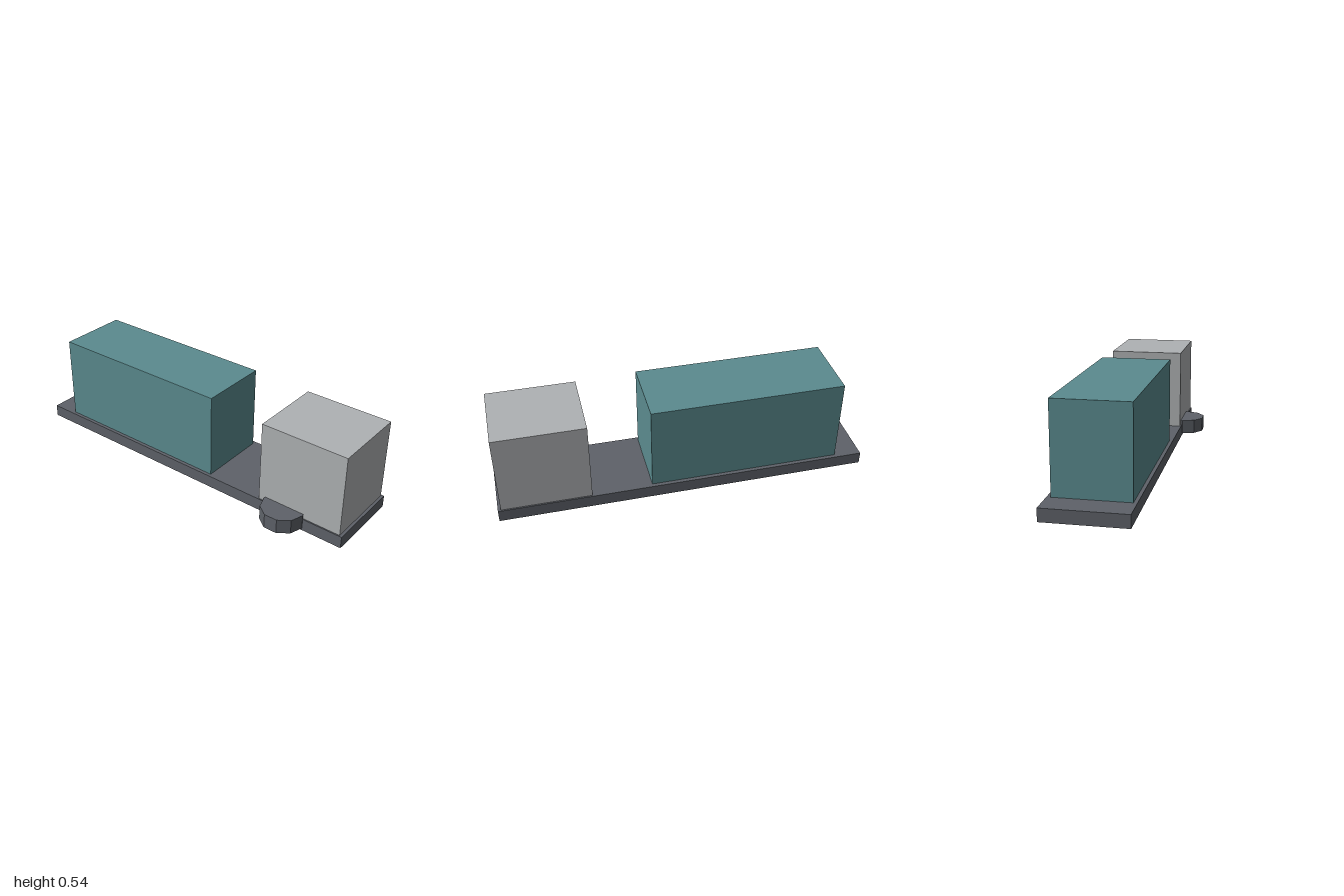
import * as THREE from 'three';

const flat = (name, color) => {
  const m = new THREE.MeshStandardMaterial({ color });
  m.name = name;
  return m;
};

// Box given by its extents on each axis
function block(name, material, [x0, x1], [y0, y1], [z0, z1]) {
  const mesh = new THREE.Mesh(new THREE.BoxGeometry(x1 - x0, y1 - y0, z1 - z0), material);
  mesh.position.set((x0 + x1) / 2, (y0 + y1) / 2, (z0 + z1) / 2);
  mesh.name = name;
  return mesh;
}

export function createModel() {
  const slate = flat('slate grey', 0x5e6269);
  const teal = flat('teal', 0x5b8b8f);
  const silver = flat('light grey', 0xafb2b4);

  const model = new THREE.Group();
  model.name = 'model';

  // Base plate carrying the two blocks
  model.add(block('basePlate', slate, [-1, 1], [0, 0.067], [-0.271, 0.157]));
  model.add(block('longBlock', teal, [-0.855, 0.183], [0.067, 0.535], [-0.25, 0.138]));
  model.add(block('shortBlock', silver, [0.507, 0.985], [0.067, 0.515], [-0.263, 0.15]));

  // Ten-sided knob half sunk into the front edge, a flat side facing forward
  const knobGeometry = new THREE.CylinderGeometry(0.117, 0.117, 0.08, 10, 1, false, Math.PI / 10);
  const knob = new THREE.Mesh(knobGeometry.toNonIndexed(), slate);
  knob.geometry.computeVertexNormals();
  knob.position.set(0.662, 0.053, 0.16);
  knob.name = 'frontKnob';
  model.add(knob);

  return model;
}
